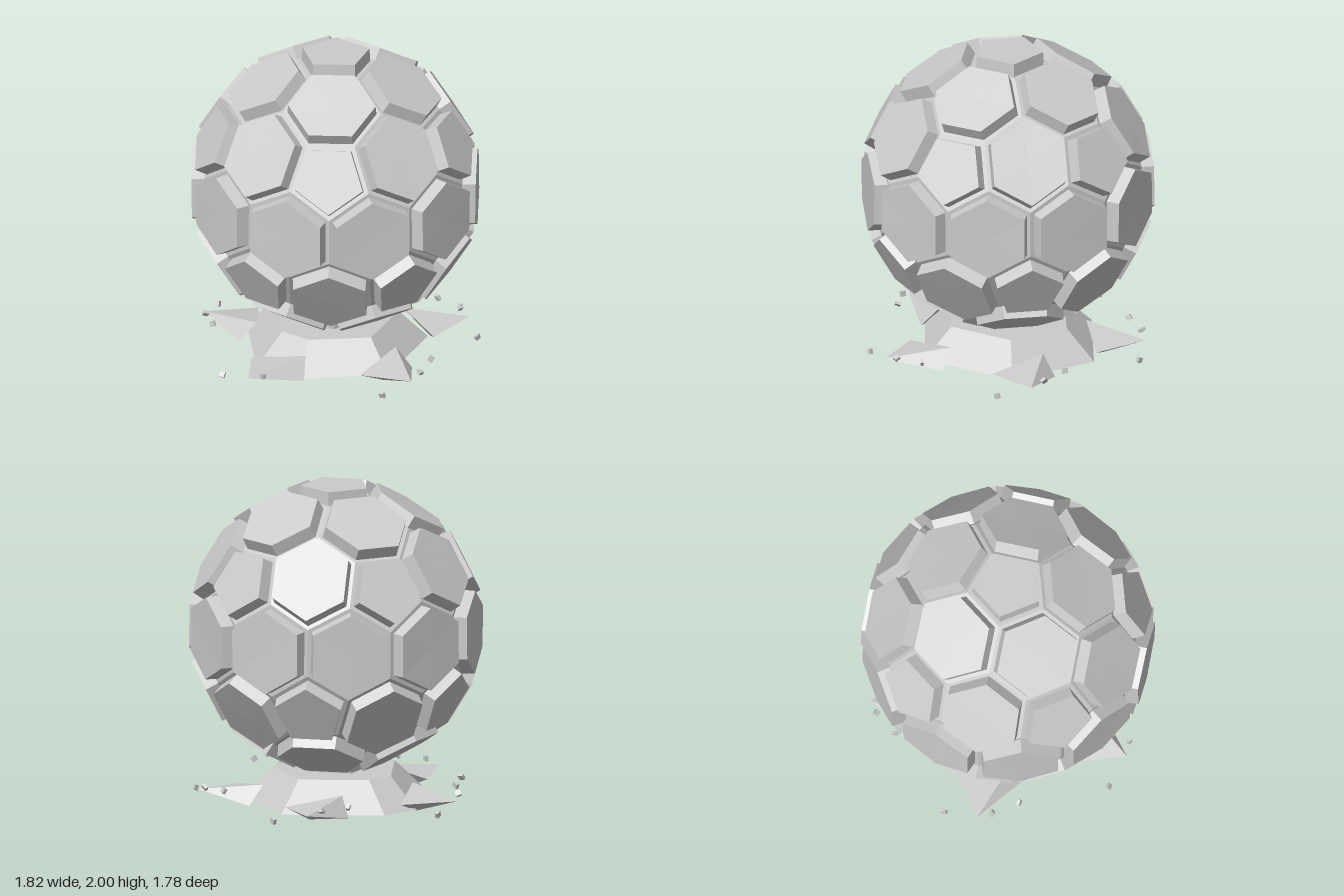
import * as THREE from 'three';
import { ConvexGeometry } from 'three/addons/geometries/ConvexGeometry.js';

const CENTER_Y = 1.1;
const RADIUS = 0.94;      // corners of the outer panel shell
const BODY_SCALE = 0.905; // inner body relative to that shell
const rad = THREE.MathUtils.degToRad;

// Point from azimuth (x towards z), horizontal distance and height
const polar = (az, r, y) => new THREE.Vector3(r * Math.cos(az), y, r * Math.sin(az));

// 12 pentagon centres followed by 30 hexagon centres, as unit vectors
function cellCenters() {
  const up = new THREE.Vector3(0, 1, 0);
  const pents = [up, up.clone().negate()];
  const h = 1 / Math.sqrt(5);
  for (let i = 0; i < 5; i++) {
    pents.push(polar(rad(72 * i), 2 * h, h), polar(rad(72 * i + 36), 2 * h, -h));
  }
  const hexes = [];
  pents.forEach((a, i) => pents.slice(i + 1).forEach((b) => {
    if (a.dot(b) > 0.4) hexes.push(a.clone().add(b).normalize());
  }));
  return [...pents, ...hexes];
}

// Corners of every cell, ordered counter-clockwise seen from outside
function cells() {
  const centers = cellCenters();
  const near = (a, b) => a.dot(b) > 0.79;
  return centers.map((n, i) => {
    const ring = centers.filter((c, j) => j !== i && near(n, c));
    const e1 = ring[0].clone().addScaledVector(n, -ring[0].dot(n)).normalize();
    const e2 = new THREE.Vector3().crossVectors(n, e1);
    const angle = (p) => Math.atan2(p.dot(e2), p.dot(e1));
    ring.sort((a, b) => angle(a) - angle(b));
    const corners = ring.map((a, k) => n.clone().add(a).add(ring[(k + 1) % ring.length])
      .normalize().multiplyScalar(RADIUS));
    const mid = corners.reduce((s, p) => s.add(p), new THREE.Vector3()).divideScalar(corners.length);
    return { n, corners, mid };
  });
}

function flatGeometry(points) {
  const geometry = new THREE.BufferGeometry().setFromPoints(points);
  geometry.computeVertexNormals();
  return geometry;
}

// Raised plate: inset top face with side walls sinking into the body
function panelGeometry({ n, corners, mid }) {
  const shrink = corners.length === 5 ? 0.78 : 0.81;
  const top = corners.map((p) => p.clone().sub(mid).multiplyScalar(shrink).add(mid));
  const foot = corners.map((p) => p.clone().sub(mid).multiplyScalar(shrink * 1.02).add(mid)
    .addScaledVector(n, -0.1));
  const tris = [];
  top.forEach((a, i) => {
    const j = (i + 1) % top.length;
    tris.push(mid, a, top[j]);
    tris.push(a, foot[i], foot[j], a, foot[j], top[j]);
  });
  return flatGeometry(tris);
}

export function createModel() {
  const model = new THREE.Group();
  model.name = 'panelledBallOnStand';
  const material = new THREE.MeshStandardMaterial({ color: 0xcccccc, flatShading: true });
  const add = (parent, name, geometry) => {
    const mesh = new THREE.Mesh(geometry, material);
    mesh.name = name;
    parent.add(mesh);
    return mesh;
  };

  // Ball: faceted inner body with one raised panel per cell
  const ball = new THREE.Group();
  ball.name = 'ball';
  ball.position.y = CENTER_Y;
  model.add(ball);
  const bodyTris = [];
  for (const cell of cells()) {
    const { corners, mid } = cell;
    corners.forEach((p, i) => bodyTris.push(...[mid, p, corners[(i + 1) % corners.length]]
      .map((v) => v.clone().multiplyScalar(BODY_SCALE))));
    add(ball, corners.length === 5 ? 'pentagonPanel' : 'hexagonPanel', panelGeometry(cell));
  }
  add(ball, 'innerBody', flatGeometry(bodyTris));

  // Plinth: uneven stone slab with sloping sides, laid out on the diagonal
  const outline = [[0.58, 0.02], [0.27, -0.52], [-0.3, -0.51], [-0.52, -0.3],
    [-0.52, 0.35], [-0.33, 0.52], [0.31, 0.53]];
  const slab = [];
  for (const [t, u] of outline) {
    const x = (t + u) * Math.SQRT1_2, z = (t - u) * Math.SQRT1_2;
    slab.push(new THREE.Vector3(x, 0.015, z), new THREE.Vector3(x * 0.68, 0.2, z * 0.68));
  }
  add(model, 'plinth', new ConvexGeometry(slab));

  // Shards thrown outwards around the plinth, each as [radius, sideways, height]
  const shardPoints = [[0.86, 0, 0.08], [0.58, 0.2, 0.065], [0.56, -0.2, 0.01],
    [0.47, -0.14, 0.13], [0.6, 0.04, 0]];
  const shard = new ConvexGeometry(shardPoints.map(([r, s, y]) => new THREE.Vector3(r, y, s)));
  // Loose chips beside each shard, as [angle offset, radius, height]
  const chips = [[14, 0.88, 0.04], [-6, 0.83, 0.11], [-18, 0.76, 0.12]];
  const chip = new THREE.BoxGeometry(0.034, 0.034, 0.02);
  for (let i = 0; i < 5; i++) {
    const az = 36 + 72 * i;
    add(model, 'shard', shard).rotation.y = -rad(az);
    chips.forEach(([offset, r, y], k) => {
      const mesh = add(model, 'chip', chip);
      mesh.position.copy(polar(rad(az + offset), r, y));
      mesh.rotation.set(i + k, 2 * i + k, 0.4 + k);
    });
  }
  return model;
}
